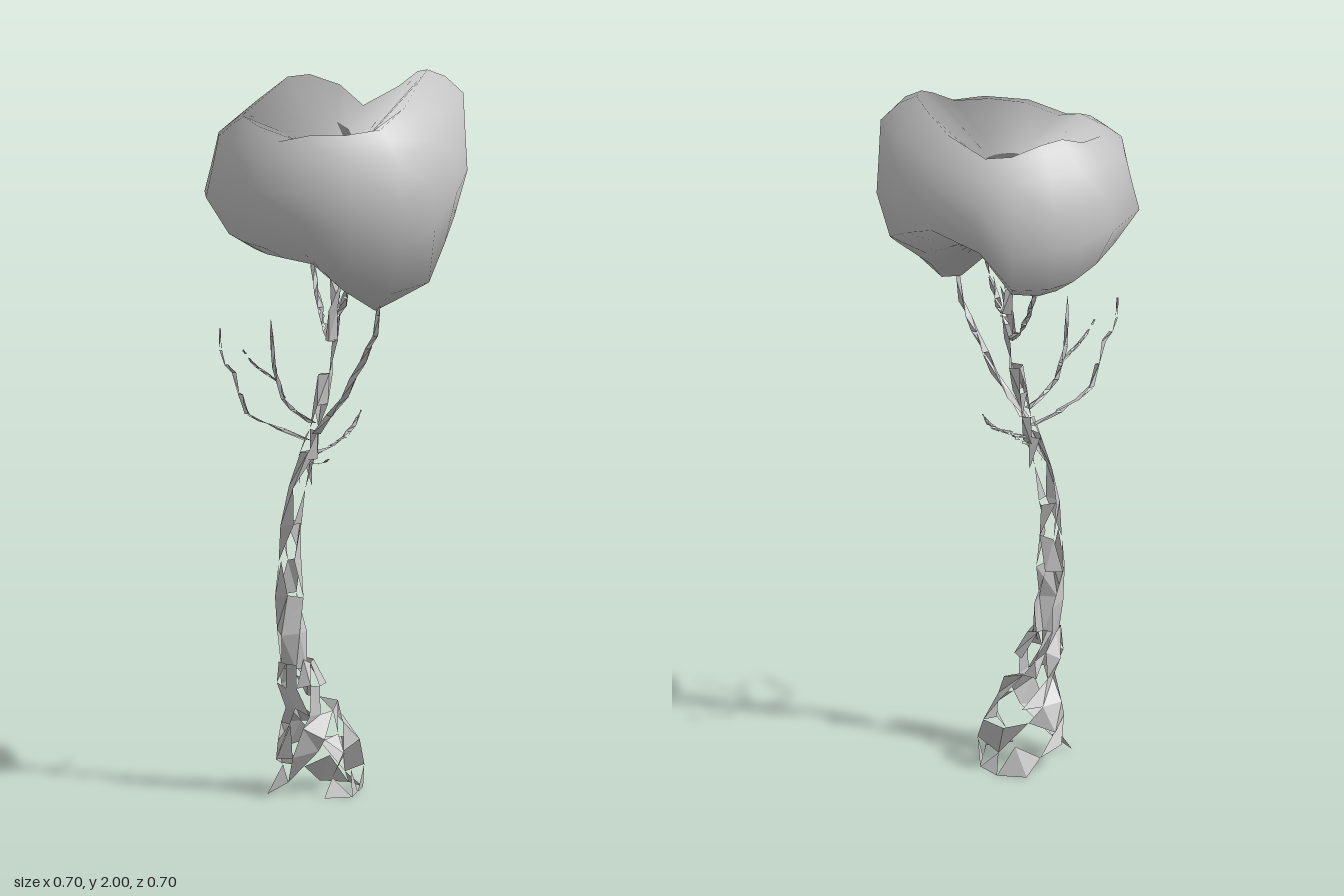
import * as THREE from 'three';

const grey = new THREE.MeshStandardMaterial({ color: 0xc4c4c4, side: THREE.DoubleSide });
grey.name = 'grey';

let seed = 11;
const rand = () => ((seed = (seed * 16807) % 2147483647) / 2147483647);

// crown by angle: [degrees from +x towards +z, outer radius, top, bottom, shoulder factor, underside factor]
const OUTLINE = [
  [0, 0.35, 1.985, 1.47, 0.96, 0.9], [27, 0.375, 1.93, 1.39, 0.97, 0.94], [46, 0.38, 1.88, 1.37, 0.98, 0.85],
  [68, 0.377, 1.87, 1.43, 1, 0.83], [90, 0.35, 1.865, 1.5, 1, 0.85], [112, 0.356, 1.84, 1.51, 0.97, 0.85],
  [132, 0.35, 1.87, 1.51, 0.93, 0.84], [154, 0.355, 1.88, 1.51, 0.9, 0.82], [172, 0.355, 1.87, 1.51, 0.89, 0.81],
  [202, 0.335, 1.9, 1.5, 0.91, 0.83], [224, 0.347, 1.94, 1.48, 0.92, 0.85], [240, 0.36, 1.94, 1.48, 0.9, 0.87],
  [259, 0.357, 1.91, 1.49, 0.88, 0.88], [282, 0.256, 1.87, 1.57, 0.92, 0.87], [309, 0.316, 1.93, 1.63, 0.96, 0.9],
  [325, 0.35, 1.98, 1.59, 0.97, 0.9], [343, 0.367, 2.0, 1.53, 0.97, 0.9],
];

// cross-section of the crown from the top opening, over the rim, to the lower opening
function crownSection([deg, R, T, B, shoulder, under]) {
  const a = THREE.MathUtils.degToRad(deg), h = T - B;
  return [
    [0.055, 1.7], [0.075, 1.785], [0.36 * R, 1.81 + 0.3 * (T - 1.84)], [0.7 * R, T],
    [0.86 * shoulder * R, T - 0.04 * h], [shoulder * R, T - 0.14 * h], [(0.5 + 0.5 * shoulder) * R, T - 0.38 * h],
    [R, T - 0.6 * h], [under * R, B + 0.12 * h], [0.62 * R, B], [0.4 * R, B * 0.5 + 0.78], [0.06, 1.57],
  ].map(([r, y]) => new THREE.Vector3(r * Math.cos(a), y, r * Math.sin(a)));
}

function makeCrown() {
  const rings = OUTLINE.map(crownSection), n = rings.length, m = rings[0].length;
  const pos = [], nor = [], idx = [];
  rings.forEach((ring, i) => ring.forEach((p, j) => {
    pos.push(p.x, p.y, p.z);
    // dome-shaped normals give the foliage soft, rounded shading
    const d = new THREE.Vector3(p.x, (p.y - 1.68) * 1.1, p.z).normalize();
    nor.push(d.x, d.y, d.z);
    if (j < m - 1) {
      const k = (i + 1) % n, a = i * m + j, b = k * m + j;
      idx.push(a, b, a + 1, b, b + 1, a + 1);
    }
  }));
  const g = new THREE.BufferGeometry();
  g.setAttribute('position', new THREE.Float32BufferAttribute(pos, 3));
  g.setAttribute('normal', new THREE.Float32BufferAttribute(nor, 3));
  g.setIndex(idx);
  return g;
}

// ragged faceted tube along stops [x, y, z, radius]; some facets are left out
function raggedTube(stops, sides, rows, gap, jitter) {
  const curve = new THREE.CatmullRomCurve3(stops.map(([x, y, z]) => new THREE.Vector3(x, y, z)));
  const rings = [], pos = [];
  for (let j = 0; j <= rows; j++) {
    const t = j / rows, s = t * (stops.length - 1), k = Math.min(Math.floor(s), stops.length - 2);
    const r = THREE.MathUtils.lerp(stops[k][3], stops[k + 1][3], s - k);
    const c = curve.getPoint(t), ring = [];
    for (let i = 0; i < sides; i++) {
      const a = ((i + 0.5 * (j % 2)) / sides) * Math.PI * 2, q = r * (1 + (rand() - 0.5) * jitter);
      const dy = j === 0 ? 0 : (rand() - 0.5) * r * jitter;
      ring.push(new THREE.Vector3(c.x + q * Math.cos(a), Math.max(0, c.y + dy), c.z + q * Math.sin(a)));
    }
    rings.push(ring);
  }
  const face = (...p) => { if (rand() > gap) p.forEach(v => pos.push(v.x, v.y, v.z)); };
  for (let j = 0; j < rows; j++) {
    for (let i = 0; i < sides; i++) {
      const k = (i + 1) % sides, [lo, hi] = [rings[j], rings[j + 1]];
      face(lo[i], hi[i], lo[k]);
      face(lo[k], hi[i], hi[k]);
    }
  }
  const g = new THREE.BufferGeometry();
  g.setAttribute('position', new THREE.Float32BufferAttribute(pos, 3));
  g.computeVertexNormals();
  return g;
}

// branches and twigs as [x, y, z, radius]
const BRANCHES = [
  [[-0.03, 1.0, 0.08, 0.014], [0.06, 1.11, 0.11, 0.012], [0.12, 1.22, 0.145, 0.01], [0.16, 1.3, 0.16, 0.009], [0.18, 1.42, 0.17, 0.006]],
  [[-0.05, 0.98, 0.08, 0.012], [-0.15, 1.03, 0.13, 0.01], [-0.2, 1.07, 0.18, 0.009], [-0.22, 1.18, 0.21, 0.007], [-0.25, 1.22, 0.23, 0.006], [-0.26, 1.31, 0.23, 0.003]],
  [[-0.04, 1.03, 0.08, 0.011], [-0.1, 1.09, 0.12, 0.009], [-0.13, 1.2, 0.14, 0.007], [-0.13, 1.33, 0.17, 0.004]],
  [[-0.12, 1.15, 0.13, 0.007], [-0.17, 1.2, 0.18, 0.006], [-0.2, 1.25, 0.21, 0.003]],
  [[-0.04, 0.94, 0.085, 0.013], [0.02, 0.97, 0.04, 0.011], [0.05, 1.0, 0, 0.009], [0.07, 1.05, -0.03, 0.004]],
  [[-0.05, 0.92, 0.085, 0.01], [-0.01, 0.92, 0.1, 0.008], [0.02, 0.94, 0.12, 0.004]],
  [[0, 1.25, 0.03, 0.012], [-0.05, 1.33, -0.04, 0.01], [-0.09, 1.46, -0.11, 0.007]],
  [[0.01, 1.3, 0.01, 0.012], [0.05, 1.4, 0.03, 0.009], [0.08, 1.55, 0.04, 0.006]],
];

export function createModel() {
  const model = new THREE.Group();
  model.name = 'tree';
  const add = (name, geometry) => {
    const mesh = new THREE.Mesh(geometry, grey);
    mesh.name = name;
    model.add(mesh);
  };

  add('crown', makeCrown());
  // flared, splintered foot
  add('roots', raggedTube([
    [-0.02, 0, 0.045, 0.135], [-0.03, 0.12, 0.06, 0.1], [-0.05, 0.24, 0.08, 0.07], [-0.08, 0.37, 0.1, 0.042],
  ], 10, 6, 0.55, 0.5));
  // lower and middle trunk
  add('trunk', raggedTube([
    [-0.08, 0.35, 0.1, 0.042], [-0.1, 0.5, 0.11, 0.042], [-0.1, 0.65, 0.105, 0.033],
    [-0.08, 0.8, 0.09, 0.03], [-0.05, 0.95, 0.085, 0.024],
  ], 5, 6, 0.4, 0.5));
  // upper trunk reaching into the crown
  add('upperTrunk', raggedTube([
    [-0.05, 0.93, 0.085, 0.024], [-0.02, 1.08, 0.07, 0.02], [0, 1.25, 0.03, 0.018],
    [0.01, 1.42, 0, 0.018], [0, 1.62, 0, 0.025],
  ], 4, 8, 0.5, 0.5));
  BRANCHES.forEach(stops => add('branch', raggedTube(stops, 3, 8, 0.35, 0.5)));
  // twigs in the crown's opening
  for (let i = 0; i < 5; i++) {
    const a = (i / 5) * Math.PI * 2, x = Math.cos(a), z = Math.sin(a);
    add('innerTwig', raggedTube([
      [0, 1.55, 0, 0.016], [0.02 * x, 1.63, 0.02 * z, 0.014], [0.05 * x, 1.7, 0.05 * z, 0.008],
    ], 3, 4, 0.25, 0.4));
  }
  return model;
}
